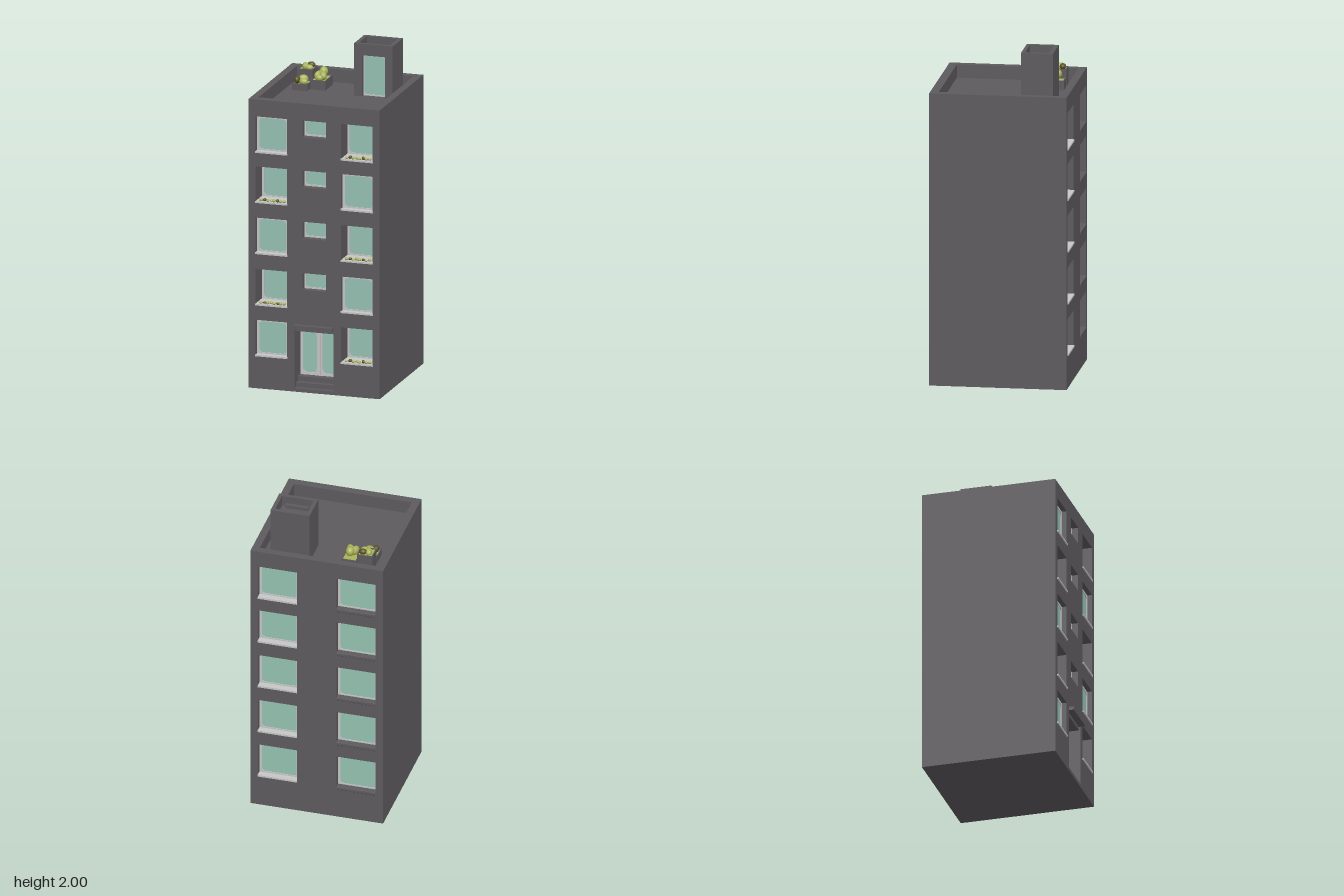
import * as THREE from 'three';

const mat = (name, color, double) => {
  const m = new THREE.MeshStandardMaterial({ color });
  m.name = name;
  if (double) m.side = THREE.DoubleSide;
  return m;
};
const wall = mat('charcoal wall', 0x5e5b5f);
const glass = mat('teal glass', 0x96c3b3);
const light = mat('light frame', 0xc6c6c6);
const leaf = mat('leaf green', 0xa9b45a);
const dry = mat('dark olive', 0x5a5326);

function add(parent, name, geometry, material) {
  const m = new THREE.Mesh(geometry, material);
  m.name = name;
  parent.add(m);
  return m;
}

// Box given by its limits on each axis
function box(parent, name, material, x0, x1, y0, y1, z0, z1) {
  const m = add(parent, name, new THREE.BoxGeometry(x1 - x0, y1 - y0, z1 - z0), material);
  m.position.set((x0 + x1) / 2, (y0 + y1) / 2, (z0 + z1) / 2);
  return m;
}

function rect(P, x0, x1, y0, y1) {
  const p = new P();
  p.moveTo(x0, y0).lineTo(x1, y0).lineTo(x1, y1).lineTo(x0, y1).closePath();
  return p;
}

function roundRect(x0, x1, y0, y1, r) {
  const p = new THREE.Path();
  p.moveTo(x0 + r, y0).lineTo(x1 - r, y0).quadraticCurveTo(x1, y0, x1, y0 + r);
  p.lineTo(x1, y1 - r).quadraticCurveTo(x1, y1, x1 - r, y1);
  p.lineTo(x0 + r, y1).quadraticCurveTo(x0, y1, x0, y1 - r);
  p.lineTo(x0, y0 + r).quadraticCurveTo(x0, y0, x0 + r, y0);
  return p;
}

const extrude = (shape, depth) =>
  new THREE.ExtrudeGeometry(shape, { depth, bevelEnabled: false, curveSegments: 5 });

// Horizontal ring standing between two heights
function ring(parent, name, outer, inner, y0, y1) {
  const flip = ([x0, x1, z0, z1]) => [x0, x1, -z1, -z0];
  const s = rect(THREE.Shape, ...flip(outer));
  s.holes.push(rect(THREE.Path, ...flip(inner)));
  const m = add(parent, name, extrude(s, y1 - y0), wall);
  m.rotation.x = -Math.PI / 2;
  m.position.y = y0;
}

// Light frame with a rounded opening and a pane behind it
function pane(parent, x0, x1, y0, y1, z, margin = 0.014, r = 0.025) {
  const s = rect(THREE.Shape, x0, x1, y0, y1);
  s.holes.push(roundRect(x0 + margin, x1 - margin, y0 + margin, y1 - margin, r));
  add(parent, 'windowFrame', extrude(s, 0.006), light).position.z = z;
  box(parent, 'windowGlass', glass, x0, x1, y0, y1, z - 0.006, z + 0.002);
}

function facade(parent, name, openings, top, z0, z1) {
  const s = rect(THREE.Shape, -0.405, 0.405, 0, top);
  openings.forEach((o) => s.holes.push(rect(THREE.Path, ...o)));
  add(parent, name, extrude(s, z1 - z0), wall).position.z = z0;
}

function lump(parent, name, material, x, y, z, rx, ry, rz, turn = 0) {
  const m = add(parent, name, new THREE.SphereGeometry(1, 14, 10), material);
  m.position.set(x, y, z);
  m.scale.set(rx, ry, rz);
  m.rotation.y = turn;
}

export function createModel() {
  const model = new THREE.Group();
  model.name = 'apartmentBuilding';
  const ROOF = 1.68, FRONT = 0.395, BACK = 0.42;
  const rows = [0.2, 0.51, 0.823, 1.135, 1.44];

  // Core and parapet
  box(model, 'core', wall, -0.405, 0.405, 0, ROOF, -0.36, 0.265);
  ring(model, 'parapet', [-0.405, 0.405, -BACK, FRONT], [-0.36, 0.36, -0.375, 0.345], ROOF, 1.76);

  // Front windows: shallow ones alternate with deep planted balconies
  const front = new THREE.Group();
  front.name = 'front';
  model.add(front);
  const openings = [[-0.12, 0.12, 0.022, 0.412]];
  rows.forEach((y, i) => {
    for (const side of [-1, 1]) {
      const x0 = side < 0 ? -0.362 : 0.167, x1 = x0 + 0.195;
      const deep = (side < 0) === (i % 2 === 1);
      openings.push([x0, x1, y, y + 0.217]);
      pane(front, x0, x1, y, y + 0.217, FRONT - (deep ? 0.122 : 0.035));
      box(front, 'windowSill', light, x0 - 0.002, x1 + 0.002, y - 0.004, y + 0.006,
        FRONT - (deep ? 0.12 : 0.03), FRONT + 0.007);
      if (!deep) continue;
      for (let k = 0; k < 8; k++) {
        const h = 0.007 + 0.004 * ((k * 3 + i) % 4) / 3;
        lump(front, 'balconyPlant', k % 4 === 1 ? dry : leaf, x0 + 0.03 + k * 0.02,
          y + 0.006 + h * 0.7, 0.383 - 0.008 * (k % 2), 0.011, h, 0.009, k);
      }
    }
    if (i > 0) {
      const w = [-0.073, 0.073, y + 0.115, y + 0.217];
      openings.push(w);
      pane(front, ...w, FRONT - 0.045, 0.01, 0.02);
    }
  });
  facade(front, 'frontWall', openings, ROOF, 0.265, FRONT);

  // Entrance with double door, steps and canopy
  const entrance = new THREE.Group();
  entrance.name = 'entrance';
  model.add(entrance);
  for (const x of [-0.12, 0.002]) pane(entrance, x, x + 0.118, 0.08, 0.368, 0.285, 0.016, 0.03);
  box(entrance, 'doorPost', light, -0.004, 0.004, 0.08, 0.368, 0.283, 0.294);
  box(entrance, 'upperStep', wall, -0.12, 0.12, 0.02, 0.08, 0.265, 0.335);
  box(entrance, 'lowerStep', wall, -0.12, 0.12, 0.02, 0.05, 0.335, 0.367);
  box(entrance, 'lintel', wall, -0.12, 0.12, 0.368, 0.392, 0.265, 0.385);
  box(entrance, 'canopy', wall, -0.12, 0.12, 0.39, 0.412, 0.265, 0.425);

  // Back windows, built facing forward and turned round
  const back = new THREE.Group();
  back.name = 'back';
  back.rotation.y = Math.PI;
  model.add(back);
  const backOpenings = [];
  rows.forEach((y) => {
    for (const side of [-1, 1]) {
      const x0 = side < 0 ? -0.36 : 0.12, x1 = x0 + 0.24;
      backOpenings.push([x0, x1, y, y + 0.217]);
      pane(back, x0, x1, y, y + 0.217, BACK - 0.042);
      box(back, 'backSill', side < 0 ? light : wall, x0, x1, y - 0.005, y + 0.006, BACK - 0.038, 0.425);
      // Scalloped edging under the dark sills
      if (side > 0) for (let k = 0; k < 10; k++) {
        lump(back, 'sillScallop', wall, x0 + 0.012 + k * 0.024, y - 0.004, BACK, 0.009, 0.012, 0.005);
      }
    }
  });
  facade(back, 'backWall', backOpenings, ROOF, 0.36, BACK);

  // Stair house with recessed glazed door and sunken top
  const house = new THREE.Group();
  house.name = 'stairHouse';
  model.add(house);
  const LID = 1.935;
  box(house, 'houseBody', wall, 0.072, 0.31, ROOF, LID, -0.325, -0.18);
  const jambs = new THREE.Shape();
  jambs.moveTo(0.072, ROOF).lineTo(0.12, ROOF).lineTo(0.12, 1.93).lineTo(0.262, 1.93);
  jambs.lineTo(0.262, ROOF).lineTo(0.31, ROOF).lineTo(0.31, LID).lineTo(0.072, LID).closePath();
  add(house, 'houseFront', extrude(jambs, 0.045), wall).position.z = -0.18;
  ring(house, 'houseParapet', [0.072, 0.31, -0.325, -0.135], [0.095, 0.287, -0.3, -0.157], LID, 2);
  box(house, 'doorHead', wall, 0.12, 0.262, LID, 1.955, -0.18, -0.157);
  pane(house, 0.12, 0.262, ROOF, 1.93, -0.165, 0.008, 0.015);

  // Roof planters at three heights: limits in x and z, then the rim height
  const garden = new THREE.Group();
  garden.name = 'roofGarden';
  model.add(garden);
  const planters = [
    [-0.312, -0.218, -0.325, -0.232, 1.785],
    [-0.312, -0.218, -0.23, -0.135, 1.722],
    [-0.214, -0.122, -0.325, -0.182, 1.738],
  ];
  for (const [x0, x1, z0, z1, y] of planters) {
    ring(garden, 'planter', [x0, x1, z0, z1], [x0 + 0.006, x1 - 0.006, z0 + 0.006, z1 - 0.006], ROOF, y);
    box(garden, 'planterBed', leaf, x0 + 0.006, x1 - 0.006, ROOF, y - 0.005, z0 + 0.006, z1 - 0.006);
  }
  const shrubs = [
    [leaf, -0.277, 1.79, -0.283, 0.021, 0.022, 0.032, 0.3],
    [leaf, -0.25, 1.788, -0.265, 0.026, 0.018, 0.02, 0],
    [dry, -0.247, 1.797, -0.301, 0.024, 0.018, 0.019, 0],
    [leaf, -0.26, 1.738, -0.19, 0.03, 0.026, 0.024, 0.4],
    [leaf, -0.25, 1.73, -0.162, 0.026, 0.02, 0.02, 0],
    [dry, -0.289, 1.738, -0.163, 0.018, 0.022, 0.024, 0],
    [leaf, -0.163, 1.77, -0.278, 0.025, 0.03, 0.03, 0],
    [leaf, -0.182, 1.755, -0.24, 0.02, 0.026, 0.036, -0.3],
    [leaf, -0.152, 1.755, -0.23, 0.022, 0.026, 0.03, 0.5],
    [leaf, -0.17, 1.745, -0.215, 0.026, 0.02, 0.02, 0],
  ];
  shrubs.forEach((s) => lump(garden, 'shrub', ...s));

  return model;
}
